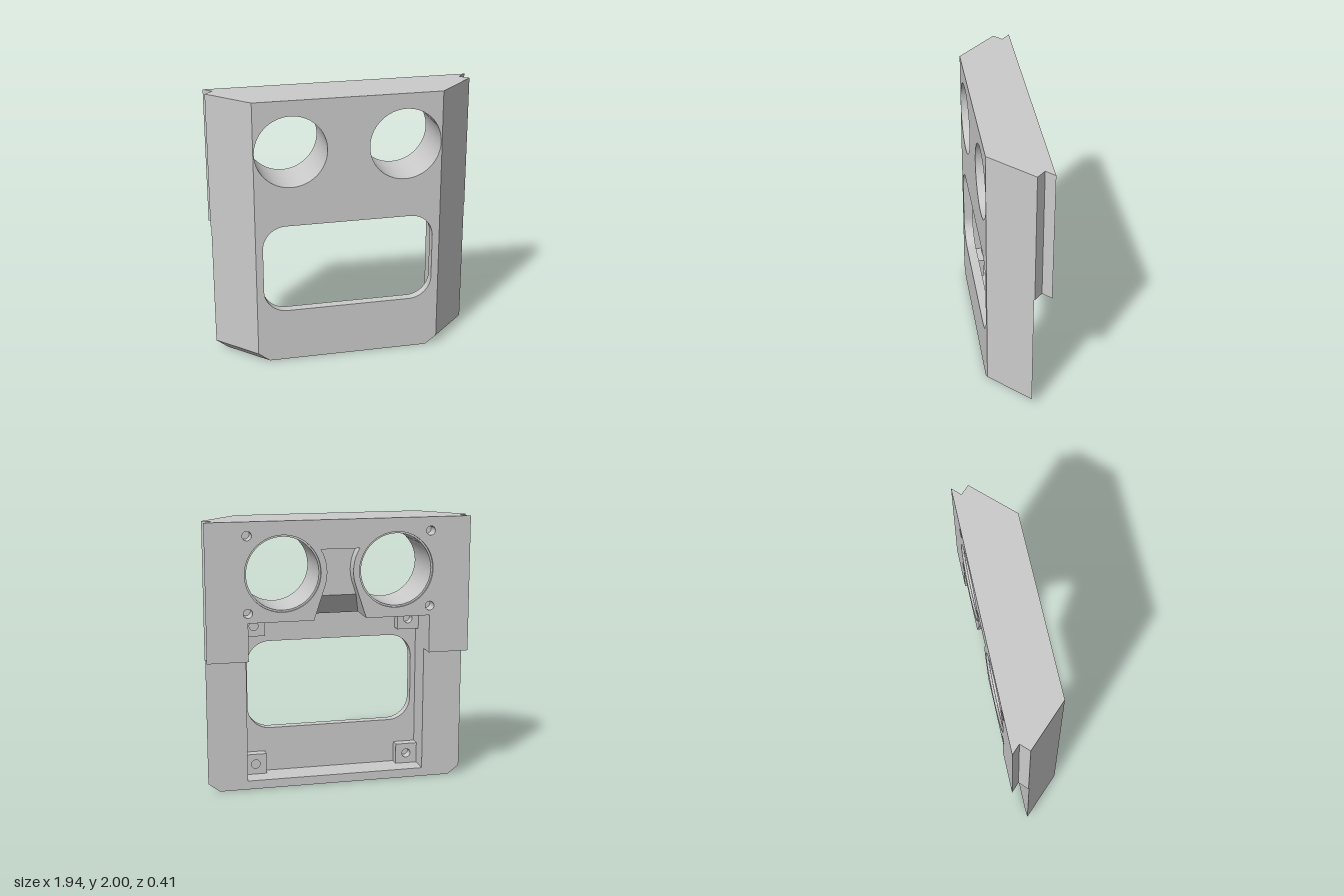
import * as THREE from 'three';
import { toCreasedNormals } from 'three/addons/utils/BufferGeometryUtils.js';

const material = new THREE.MeshStandardMaterial({ color: 0xcccccc });

// Key depths (z) and heights (y)
const FRONT = 0.205, WALL = 0.135, LOWER_BACK = -0.08, BACK = -0.205;
const FLOOR = 0.065, STEP = 1, CEILING = 1.28, TOP = 2;
const EYE = { x: 0.416, y: 1.625, r: 0.262 };

export function createModel() {
  const group = new THREE.Group();

  const add = (name, geometry) => {
    const mesh = new THREE.Mesh(geometry, material);
    mesh.name = name;
    group.add(mesh);
    return mesh;
  };
  const polygon = (pts) => new THREE.Shape(pts.map(([x, y]) => new THREE.Vector2(x, y)));
  const circle = (x, y, r) => new THREE.Path().absarc(x, y, r, 0, Math.PI * 2, true);

  // Extrude an x/y shape between two depths
  const slab = (name, shape, z0, z1) => {
    const geo = new THREE.ExtrudeGeometry(shape, { depth: z1 - z0, bevelEnabled: false, curveSegments: 32 });
    geo.translate(0, 0, z0);
    return add(name, toCreasedNormals(geo, 0.5));
  };
  // Extrude an x/z outline between two heights
  const column = (name, pts, y0, y1) => {
    const geo = new THREE.ExtrudeGeometry(polygon(pts.map(([x, z]) => [x, -z])), { depth: y1 - y0, bevelEnabled: false });
    geo.rotateX(-Math.PI / 2);
    geo.translate(0, y0, 0);
    return add(name, geo);
  };

  // Front panel with two round openings and a rounded window
  const panel = polygon([[-0.685, FLOOR], [0.685, FLOOR], [0.685, TOP], [-0.685, TOP]]);
  const wx = 0.632, y0 = 0.4, y1 = 1.07, r = 0.17;
  const win = new THREE.Path();
  win.absarc(wx - r, y0 + r, r, -Math.PI / 2, 0);
  win.absarc(wx - r, y1 - r, r, 0, Math.PI / 2);
  win.absarc(-wx + r, y1 - r, r, Math.PI / 2, Math.PI);
  win.absarc(-wx + r, y0 + r, r, Math.PI, Math.PI * 1.5);
  win.closePath();
  panel.holes.push(win, circle(EYE.x, EYE.y, EYE.r), circle(-EYE.x, EYE.y, EYE.r));
  slab('frontPanel', panel, WALL, FRONT);

  // Half width of the waisted notch between the round openings
  const notchX = (y) => y > 1.516
    ? EYE.x - Math.sqrt(0.32 ** 2 - (y - EYE.y) ** 2)
    : 0.115 + (1.516 - y) * 0.33;

  // Upper block, stacked in depth layers
  const blockLayer = (name, z0, z1, radius, notchTop, screwHoles) => {
    const side = [];
    if (notchTop) {
      for (let i = 0; i <= 16; i++) {
        const y = CEILING + (notchTop - CEILING) * i / 16;
        side.push([notchX(y), y]);
      }
    }
    const shape = polygon([
      [-0.72, CEILING],
      ...side.map(([x, y]) => [-x, y]),
      ...side.slice().reverse(),
      [0.72, CEILING], [0.72, TOP], [-0.72, TOP],
    ]);
    for (const s of [-1, 1]) {
      shape.holes.push(circle(s * EYE.x, EYE.y, radius));
      if (screwHoles) {
        for (const dy of [-0.275, 0.275]) shape.holes.push(circle(s * 0.67, EYE.y + dy, 0.033));
      }
    }
    slab(name, shape, z0, z1);
  };
  blockLayer('rimLayer', BACK, -0.19, 0.275, 1.79, true);
  blockLayer('notchLayer', -0.19, -0.105, EYE.r, 1.79, true);
  blockLayer('rampLayer', -0.105, 0.045, EYE.r, 1.44, false);
  blockLayer('coreLayer', 0.045, WALL, EYE.r, 0, false);

  // Sloped floor at the lower end of the notch
  const ramp = new THREE.ExtrudeGeometry(
    polygon([[0.105, 1.44], [-0.045, CEILING], [-0.045, 1.44]]), { depth: 0.38, bevelEnabled: false });
  ramp.rotateY(Math.PI / 2);
  ramp.translate(-0.19, 0, 0);
  ramp.scale(1, 1, -1);
  // Shape x runs along -z after the turn; the mirror is undone by a half turn
  ramp.scale(-1, 1, -1);
  ramp.scale(-1, 1, 1);
  add('notchRamp', ramp);

  for (const s of [-1, 1]) {
    const m = (pts) => pts.map(([x, z]) => [s * x, z]);
    const slope = [[0.685, WALL], [0.685, FRONT]];
    const grooved = [[0.97, -0.085], [0.91, -0.145], [0.97, BACK]];

    // Slanted sides: plain below, with a V groove along the edge above
    column('lowerSide', m([...slope, [0.965, LOWER_BACK], [0.67, LOWER_BACK], [0.67, WALL]]), FLOOR, STEP);
    column('middleSide', m([...slope, ...grooved, [0.67, BACK], [0.67, WALL]]), STEP, CEILING);
    column('upperSide', m([...slope, ...grooved, [0.72, BACK], [0.72, WALL]]), CEILING, TOP);

    // Screw bosses in the pocket corners
    for (const y of [FLOOR, CEILING - 0.155]) {
      const a = s * 0.67, b = s * 0.505;
      const boss = polygon([[a, y], [b, y], [b, y + 0.155], [a, y + 0.155]]);
      boss.holes.push(circle((a + b) / 2, y + 0.078, 0.033));
      slab('screwBoss', boss, 0.065, WALL);
    }
  }

  // Bottom rail: a box tapered to the front and chamfered at its lower corners
  const rail = new THREE.BoxGeometry(2, FLOOR, FRONT - LOWER_BACK).toNonIndexed();
  rail.translate(0, FLOOR / 2, (FRONT + LOWER_BACK) / 2);
  const p = rail.attributes.position;
  for (let i = 0; i < p.count; i++) {
    const half = (p.getZ(i) > 0 ? 0.685 : 0.965) - (p.getY(i) < 0.01 ? 0.085 : 0);
    p.setX(i, Math.sign(p.getX(i)) * half);
  }
  rail.computeVertexNormals();
  add('bottomRail', rail);

  return group;
}
